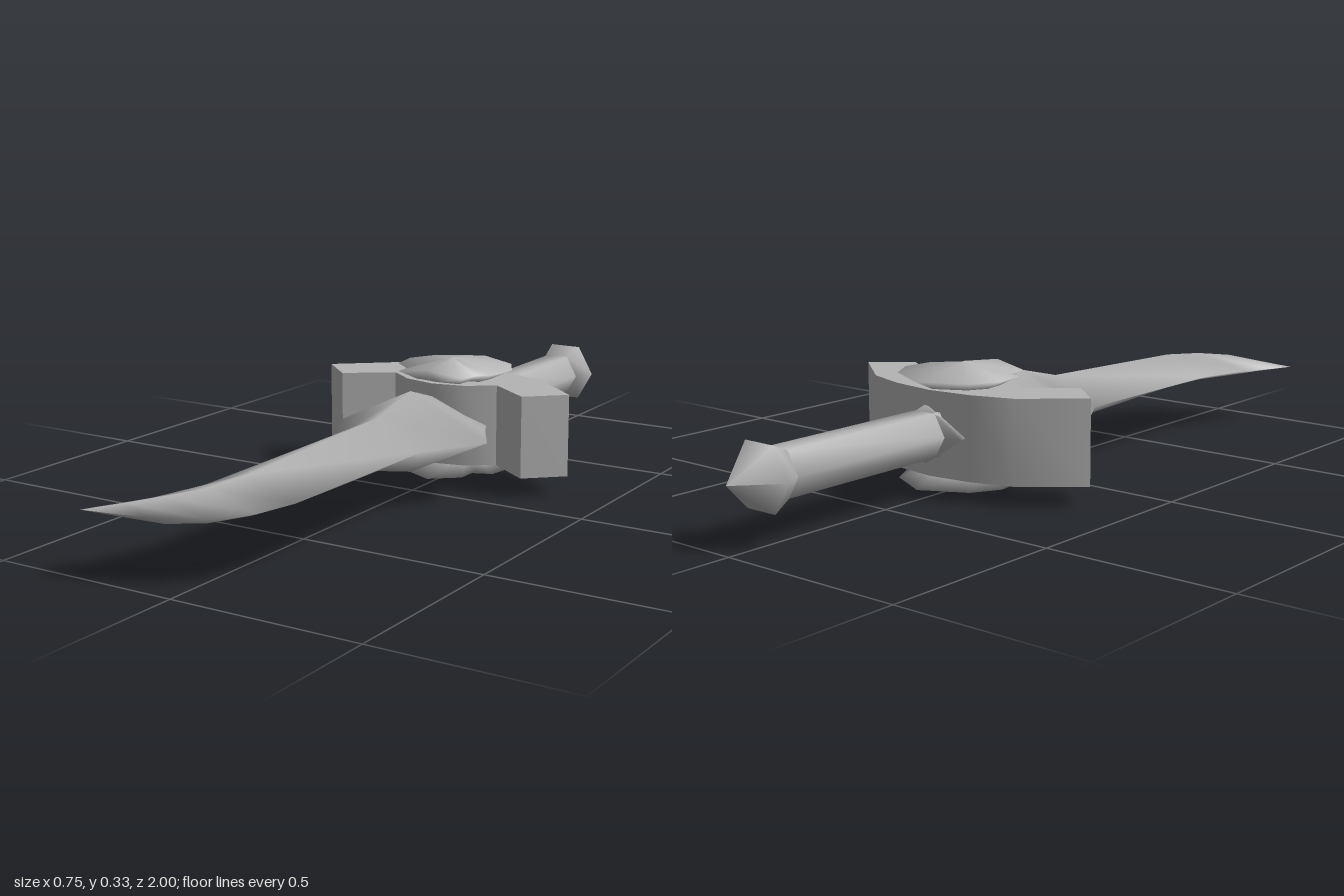
import * as THREE from 'three';
import { toCreasedNormals } from 'three/addons/utils/BufferGeometryUtils.js';

const MID = 0.165; // height of the sword's centre line

// Skin closed rings of [x, y, z] points, counter-clockwise about the sweep direction
function loft(rings) {
  const n = rings[0].length, index = [];
  for (let i = 0; i < rings.length - 1; i++) {
    for (let j = 0; j < n; j++) {
      const k = (j + 1) % n;
      const a = i * n + j, b = i * n + k, c = b + n, d = a + n;
      index.push(a, b, c, a, c, d);
    }
  }
  const g = new THREE.BufferGeometry();
  g.setAttribute('position', new THREE.Float32BufferAttribute(rings.flat(2), 3));
  g.setIndex(index);
  g.computeVertexNormals();
  return g;
}

// Diamond ring: right edge, top ridge, left edge, bottom ridge
const diamond = ([xl, zl], [xr, zr], [xm, zm], h) => [
  [xr, MID, zr], [xm, MID + h, zm], [xl, MID, zl], [xm, MID - h, zm],
];
const straight = (z, w, h) => diamond([-w, z], [w, z], [0, z], h);

// Hexagonal ring with corners on the x axis
const hexagon = (z, r) => Array.from({ length: 6 }, (_, i) => {
  const a = (i * Math.PI) / 3;
  return [r * Math.cos(a), MID + r * Math.sin(a), z];
});

export function createModel() {
  const model = new THREE.Group();
  const steel = new THREE.MeshStandardMaterial({ color: 0xb4b4b4 });
  steel.name = 'grey steel';
  const add = (name, geometry, parent = model) => {
    const mesh = new THREE.Mesh(geometry, steel);
    mesh.name = name;
    parent.add(mesh);
    return mesh;
  };

  // Blade: flared shoulder, straight body, curved tip
  add('blade', loft([
    straight(-0.25, 0.12, 0.065),
    straight(-0.17, 0.13, 0.07),
    straight(-0.1, 0.165, 0.075),
    straight(0.01, 0.232, 0.11),
    straight(0.17, 0.135, 0.07),
    diamond([-0.14, 0.71], [0.13, 0.71], [0, 0.71], 0.05),
    diamond([-0.18, 0.86], [0.105, 0.82], [-0.03, 0.83], 0.041),
    diamond([-0.215, 0.93], [0.035, 0.91], [-0.09, 0.905], 0.032),
    diamond([-0.235, 0.965], [-0.09, 0.97], [-0.16, 0.95], 0.017),
    diamond([-0.25, 1], [-0.25, 1], [-0.25, 1], 0),
  ]));

  // Guard: swept wings, upright walls
  const back = [[0.375, -0.17], [0.23, -0.29], [0.12, -0.325], [0, -0.34]];
  const front = [[0, -0.1], [0.09, -0.12], [0.16, -0.17], [0.28, -0.085]];
  const half = [...front, ...back];
  const outline = [...half, ...half.slice(1, -1).reverse().map(([x, z]) => [-x, z])];
  const shape = new THREE.Shape(outline.map(([x, z]) => new THREE.Vector2(x, -z)));
  const guard = new THREE.ExtrudeGeometry(shape, { depth: 0.22, bevelEnabled: false });
  guard.rotateX(-Math.PI / 2).translate(0, 0.055, 0);
  add('guard', toCreasedNormals(guard, 0.8));

  // Collar where the grip meets the guard
  add('collar', loft([
    straight(-0.355, 0, 0),
    straight(-0.355, 0.12, 0.075),
    straight(-0.31, 0.1, 0.055),
  ]));

  // Grip and pointed pommel
  add('grip', loft([hexagon(-0.86, 0.065), hexagon(-0.3, 0.065)]));
  add('pommel', loft([
    hexagon(-1, 0), hexagon(-0.9, 0.092), hexagon(-0.845, 0.065), hexagon(-0.845, 0),
  ]));

  // Notched domed ornaments on the top and bottom of the guard
  const side = [[0.1, 0.3, -0.09], [0.105, 0.298, -0.155], [0.15, 0.302, -0.17],
    [0.162, 0.302, -0.25], [0.12, 0.302, -0.325]];
  const rim = [[0, 0.315, -0.075], ...side, [0, 0.302, -0.388],
    ...side.slice().reverse().map(([x, y, z]) => [-x, y, z])];
  const inset = (s, y) => rim.map(([x, , z]) => [x * s, y, -0.21 + (z + 0.21) * s]);
  const ornament = loft([
    inset(0.62, 0.272),
    rim,
    inset(0, 0.328),
  ]);
  ornament.translate(0, -MID, 0);
  for (const [name, turn] of [['topOrnament', 0], ['bottomOrnament', Math.PI]]) {
    const mesh = add(name, ornament);
    mesh.position.y = MID;
    mesh.rotation.z = turn;
  }

  return model;
}
